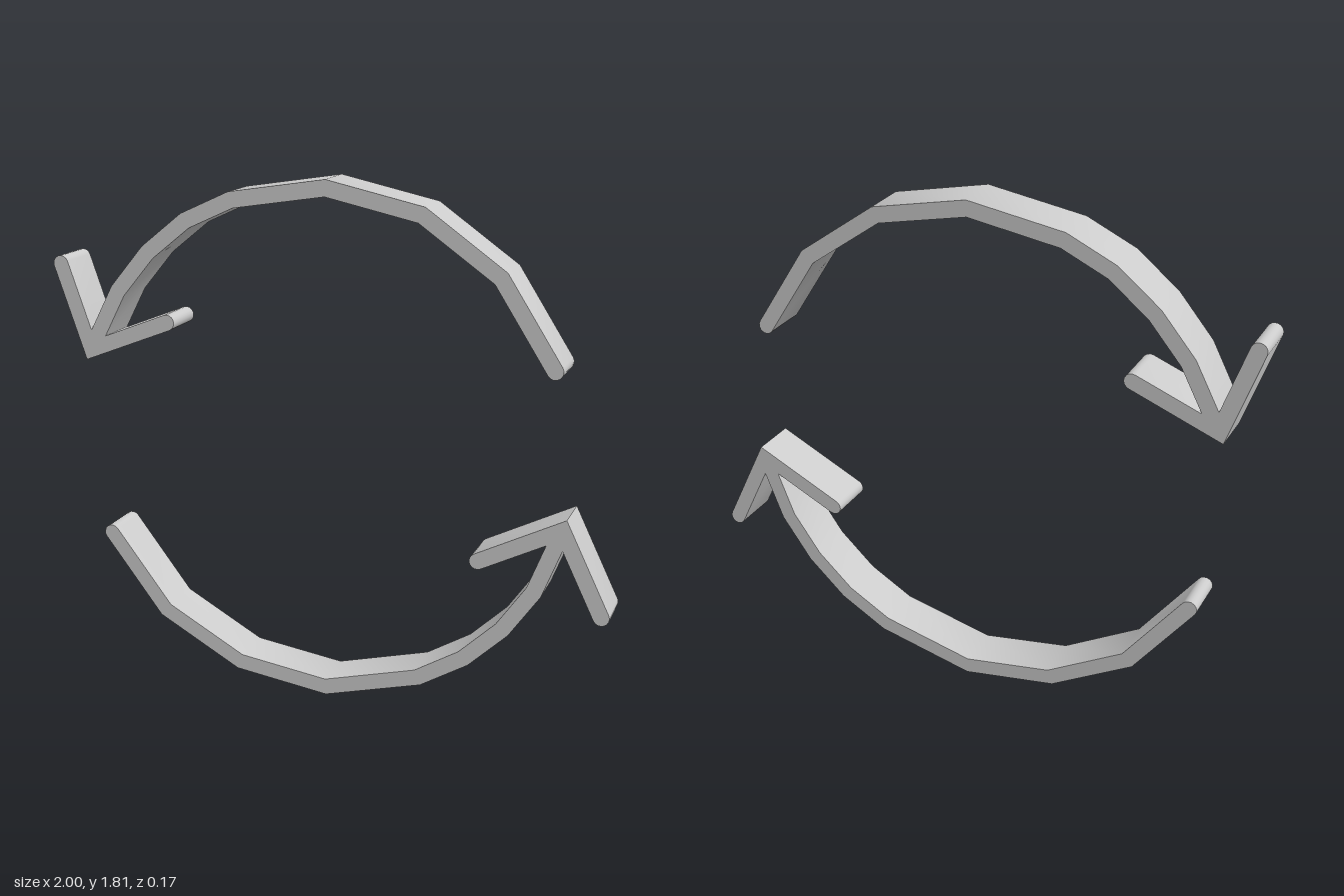
import * as THREE from 'three';
import { toCreasedNormals } from 'three/addons/utils/BufferGeometryUtils.js';

const RADIUS = 0.028; // half the stroke width
const DEPTH = 0.168;
const CAP_STEPS = 8;

// Outline of a stroked arrow: walk once around the branching centreline,
// offsetting to the right, with mitred joins and round caps at the free ends.
function arrowShape(shaft, rightBarb, leftBarb) {
  const pts = shaft.map(([x, y]) => new THREE.Vector2(x, y));
  const tip = pts[pts.length - 1];
  const walk = [
    ...pts,
    new THREE.Vector2(...rightBarb), tip,
    new THREE.Vector2(...leftBarb), tip,
    ...pts.slice(1, -1).reverse(),
  ];
  const n = walk.length;
  const normal = (a, b) => {
    const d = b.clone().sub(a).normalize();
    return new THREE.Vector2(d.y, -d.x);
  };
  const outline = [];
  walk.forEach((p, i) => {
    const n1 = normal(walk[(i + n - 1) % n], p);
    const n2 = normal(p, walk[(i + 1) % n]);
    const dot = n1.dot(n2);
    if (dot < -0.999) {
      // round cap
      for (let k = 0; k <= CAP_STEPS; k++) {
        const a = n1.angle() + (Math.PI * k) / CAP_STEPS;
        outline.push(new THREE.Vector2(p.x + RADIUS * Math.cos(a), p.y + RADIUS * Math.sin(a)));
      }
    } else {
      // mitred join
      outline.push(n1.add(n2).multiplyScalar(RADIUS / (1 + dot)).add(p));
    }
  });
  return new THREE.Shape(outline);
}

function arrow(name, material, shaft, rightBarb, leftBarb) {
  const extruded = new THREE.ExtrudeGeometry(arrowShape(shaft, rightBarb, leftBarb), {
    depth: DEPTH,
    bevelEnabled: false,
  });
  extruded.translate(0, 0, -DEPTH / 2);
  const mesh = new THREE.Mesh(toCreasedNormals(extruded, 0.6), material);
  mesh.name = name;
  return mesh;
}

export function createModel() {
  const group = new THREE.Group();
  group.name = 'rotationArrows';
  const material = new THREE.MeshStandardMaterial({ color: 0xcccccc });

  // Upper arrow sweeps over the top, pointing down at -x
  group.add(arrow('upperArrow', material, [
    [0.787, 1.235], [0.603, 1.524], [0.337, 1.714], [0.007, 1.787], [-0.327, 1.735],
    [-0.495, 1.658], [-0.638, 1.543], [-0.755, 1.403], [-0.868, 1.187],
  ], [-0.972, 1.487], [-0.573, 1.302]));

  // Lower arrow sweeps under the bottom, pointing up at +x
  group.add(arrow('lowerArrow', material, [
    [-0.812, 0.514], [-0.605, 0.242], [-0.318, 0.08], [0.008, 0.03], [0.345, 0.115],
    [0.506, 0.209], [0.638, 0.332], [0.742, 0.479], [0.831, 0.705],
  ], [0.97, 0.418], [0.547, 0.565]));

  return group;
}
